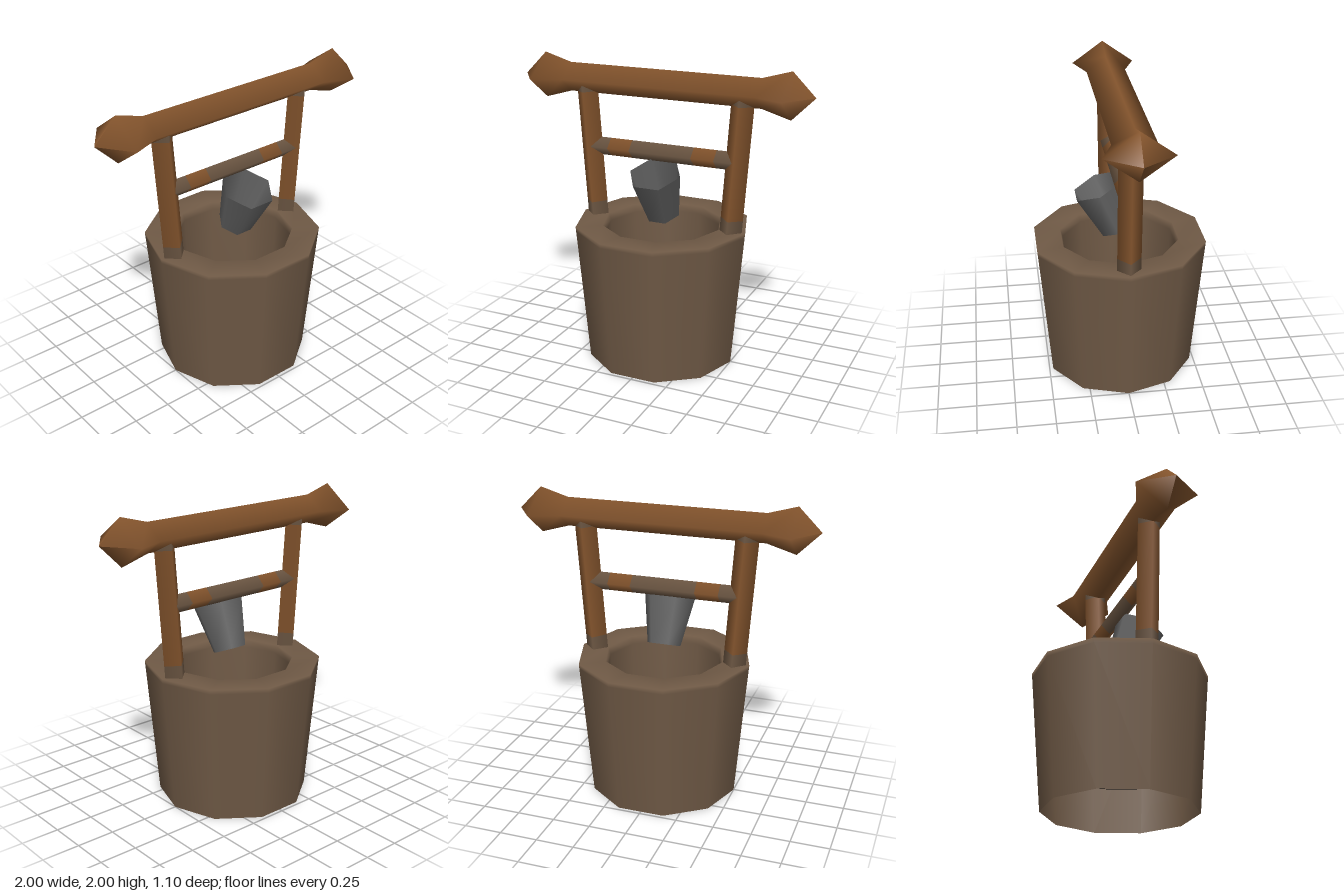
import * as THREE from 'three';

const mat = (name, color, side = THREE.FrontSide) => {
  const m = new THREE.MeshStandardMaterial({ color, side });
  m.name = name;
  return m;
};

export function createModel() {
  const model = new THREE.Group();
  model.name = 'well';
  const stone = mat('stone', 0x705a46, THREE.DoubleSide);
  const wood = mat('wood', 0x85552d);
  const agedWood = mat('agedWood', 0x6e5844);
  const metal = mat('metal', 0x666666, THREE.DoubleSide);
  const water = mat('darkWater', 0x060606, THREE.DoubleSide);

  const add = (name, geometry, material, parent = model) => {
    const mesh = new THREE.Mesh(geometry, material);
    mesh.name = name;
    parent.add(mesh);
    return mesh;
  };
  const lathe = (points, sides, start = 0) =>
    new THREE.LatheGeometry(points.map(([r, y]) => new THREE.Vector2(r, y)), sides, start);

  // Four-sided pole from a to b, coloured in sections; stops are fractions along it
  const pole = (name, a, b, radius, stops, materials) => {
    const group = new THREE.Group();
    group.name = name;
    const length = a.distanceTo(b);
    materials.forEach((material, i) => {
      const part = (stops[i + 1] - stops[i]) * length;
      const g = new THREE.CylinderGeometry(radius, radius, part, 4, 1, true);
      g.translate(0, stops[i] * length + part / 2, 0);
      add(name + 'Section', g, material, group);
    });
    group.position.copy(a);
    group.quaternion.setFromUnitVectors(new THREE.Vector3(0, 1, 0), b.clone().sub(a).normalize());
    model.add(group);
  };

  // Ten-sided wall with a flat rim and a narrowing shaft inside
  add('wellWall', lathe([[0.5, 0], [0.577, 0.9], [0.58, 0.93], [0.4, 0.93], [0.385, 0.88], [0.365, 0.26]],
    10, Math.PI / 10), stone);

  // Dark water closing the shaft
  const pool = new THREE.CircleGeometry(0.365, 10);
  pool.rotateX(-Math.PI / 2);
  add('water', pool, water).position.y = 0.26;

  // Leaning posts
  for (const s of [-1, 1]) {
    pole(s > 0 ? 'leftPost' : 'rightPost', new THREE.Vector3(s * 0.475, 0.86, 0),
      new THREE.Vector3(s * 0.545, 1.84, 0), 0.076, [0, 0.16, 0.92, 1], [agedWood, wood, agedWood]);
  }

  // Crossbar between the posts
  pole('crossbar', new THREE.Vector3(-0.52, 1.4, 0), new THREE.Vector3(0.52, 1.4, 0), 0.06,
    [0, 0.14, 0.29, 0.71, 0.86, 1], [agedWood, wood, agedWood, wood, agedWood]);

  // Top beam with flared, pointed ends
  const beam = lathe([[0, -1], [0.15, -0.85], [0.095, -0.66], [0.095, 0.66], [0.15, 0.85], [0, 1]], 4);
  beam.rotateZ(Math.PI / 2);
  beam.scale(1, 1, 1.4);
  add('topBeam', beam, wood).position.y = 1.847;

  // Six-sided bucket hanging at a tilt
  const bucket = new THREE.Group();
  bucket.name = 'bucket';
  add('bucketWall', new THREE.CylinderGeometry(0.175, 0.115, 0.325, 6, 1, true, Math.PI / 6), metal, bucket);
  const floor = new THREE.CircleGeometry(0.115, 6);
  floor.rotateX(Math.PI / 2);
  add('bucketFloor', floor, metal, bucket).position.y = -0.1625;
  bucket.position.set(0.01, 1.146, 0.08);
  bucket.rotation.x = 0.39;
  model.add(bucket);

  return model;
}
